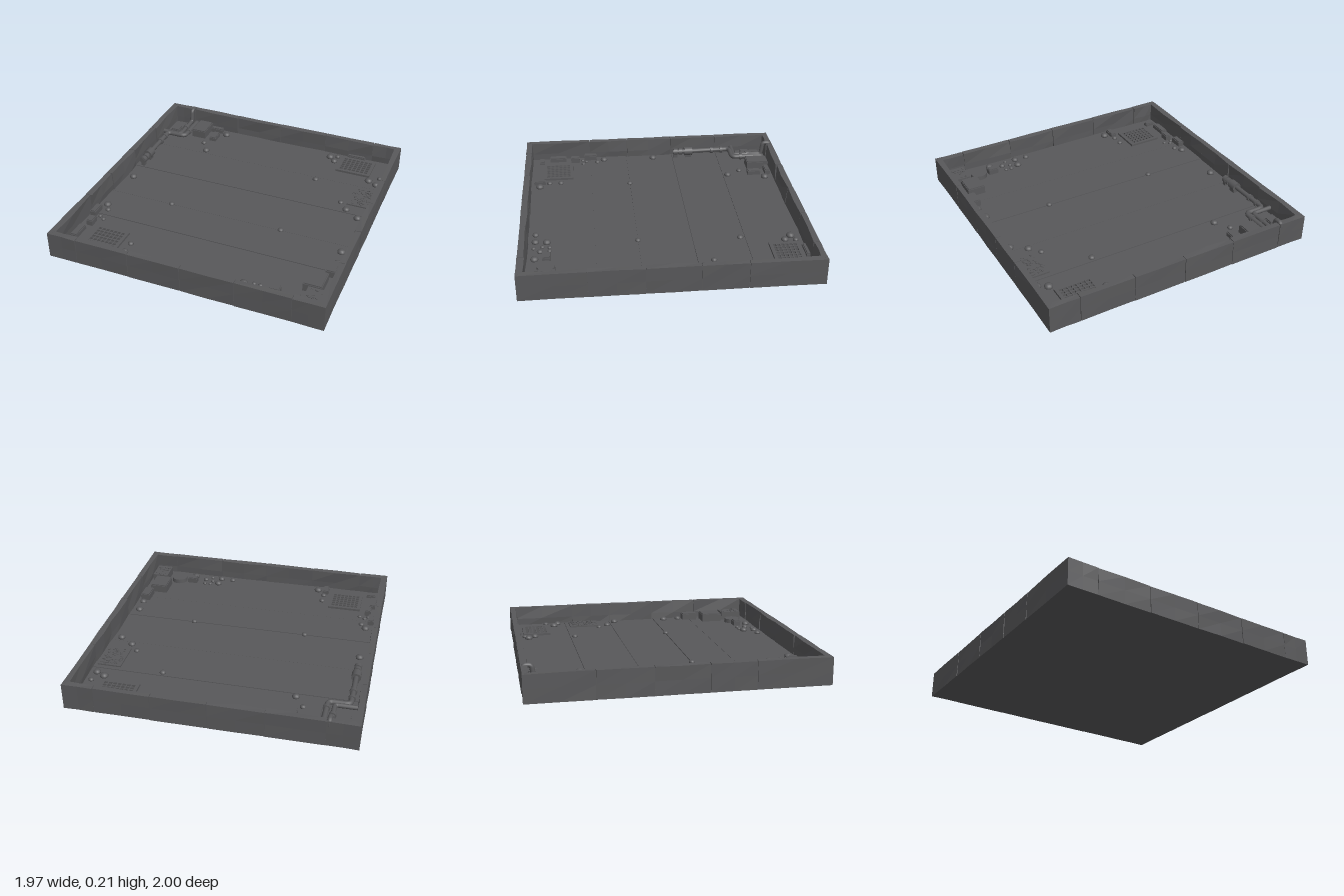
import * as THREE from 'three';

export function createModel() {
  const model = new THREE.Group();
  const stone = new THREE.MeshStandardMaterial({ color: 0x58585a });
  stone.name = 'darkGrey';
  const FLOOR = 0.046, HX = 0.985, HZ = 1, T = 0.045, TOP = 0.192;

  let seed = 7;
  const rnd = () => (seed = (seed * 16807) % 2147483647) / 2147483647;
  const jit = (a) => (rnd() * 2 - 1) * a;

  const add = (geo, name, x = 0, y = 0, z = 0, parent = model) => {
    const m = new THREE.Mesh(geo, stone);
    m.name = name;
    m.position.set(x, y, z);
    parent.add(m);
    return m;
  };
  // box standing on height y0
  const box = (name, x, z, w, d, top, y0 = FLOOR - 0.004) =>
    add(new THREE.BoxGeometry(w, top - y0, d), name, x, (top + y0) / 2, z);

  // Floor: plinth with broad slabs separated by fine seams
  box('base', 0, 0, 2 * HX - 0.01, 2 * HZ - 0.01, 0.04, 0);
  const seams = [-0.96, -0.56, -0.19, 0.19, 0.49, 0.96];
  for (let i = 0; i < seams.length - 1; i++) {
    const a = seams[i], b = seams[i + 1];
    box('floorSlab', 0, (a + b) / 2, 1.9, b - a - 0.004, FLOOR + (i % 2) * 0.002, 0.035);
  }

  // Walls: uneven stone blocks, mitred at the corners, over a thin core
  function wall(name, half, off, angle, cuts) {
    const g = new THREE.Group();
    g.name = name;
    g.rotation.y = angle;
    add(new THREE.BoxGeometry(2 * half - 0.02, TOP - 0.012, T - 0.02), 'wallCore', 0, (TOP - 0.012) / 2, off - T / 2, g);
    const stops = [-half, ...cuts, half];
    for (let i = 0; i < stops.length - 1; i++) {
      const a = stops[i] + (i ? 0.002 : 0), b = stops[i + 1] - (i < stops.length - 2 ? 0.002 : 0);
      let geo = new THREE.BoxGeometry(b - a, TOP, T, 2, 2, 1);
      geo.translate((a + b) / 2, TOP / 2, off - T / 2);
      const p = geo.attributes.position, moved = new Map();
      for (let k = 0; k < p.count; k++) {
        const v = new THREE.Vector3().fromBufferAttribute(p, k);
        const key = v.toArray().map((c) => c.toFixed(3)).join();
        if (!moved.has(key)) {
          const inner = v.z < off - T / 2, n = v.clone();
          if (inner) {
            n.x = THREE.MathUtils.clamp(v.x, -half + T, half - T);
            if (Math.abs(v.x) < half - 0.01) n.z += jit(0.007);
          } else if (Math.abs(v.x) < half - 0.01) n.z -= rnd() * 0.004;
          if (v.y > TOP - 0.01) n.y -= rnd() * 0.004;
          moved.set(key, n);
        }
        p.setXYZ(k, ...moved.get(key).toArray());
      }
      geo = geo.toNonIndexed();
      geo.computeVertexNormals();
      add(geo, 'wallBlock', 0, 0, 0, g);
    }
    model.add(g);
  }
  const cutsX = [-0.77, -0.38, 0, 0.38, 0.77], cutsZ = [-0.55, -0.18, 0.18, 0.49];
  wall('frontWall', HX, HZ, 0, cutsX);
  wall('backWall', HX, HZ, Math.PI, cutsX);
  wall('leftWall', HZ, HX, Math.PI / 2, cutsZ);
  wall('rightWall', HZ, HX, -Math.PI / 2, cutsZ);

  // Floor grates: frame with square openings over a sunken pan
  function grate(x, z, w, d, nx, nz) {
    const s = new THREE.Shape();
    s.moveTo(-w / 2, -d / 2).lineTo(w / 2, -d / 2).lineTo(w / 2, d / 2).lineTo(-w / 2, d / 2).closePath();
    const rim = 0.02, cw = (w - 2 * rim) / nx, cd = (d - 2 * rim) / nz, e = 0.004;
    for (let i = 0; i < nx; i++) for (let j = 0; j < nz; j++) {
      const x0 = -w / 2 + rim + i * cw + e, x1 = x0 + cw - 2 * e;
      const y0 = -d / 2 + rim + j * cd + e, y1 = y0 + cd - 2 * e;
      s.holes.push(new THREE.Path().moveTo(x0, y0).lineTo(x0, y1).lineTo(x1, y1).lineTo(x1, y0).closePath());
    }
    const geo = new THREE.ExtrudeGeometry(s, { depth: 0.018, bevelEnabled: false });
    geo.rotateX(-Math.PI / 2);
    add(geo, 'floorGrate', x, FLOOR - 0.002, z);
  }
  grate(0.68, -0.81, 0.27, 0.21, 7, 6);
  grate(-0.685, 0.745, 0.25, 0.23, 7, 6);

  // Rough patches: a plate strewn with small lumps
  function roughPlate(x, z, w, d, top, count) {
    box('roughPlate', x, z, w, d, top);
    for (let i = 0; i < count; i++) {
      const s = 0.008 + rnd() * 0.012;
      const m = box('rubbleChip', x + jit(w / 2 - 0.015), z + jit(d / 2 - 0.015), s, s * 0.8, top + 0.003 + rnd() * 0.005, top - 0.002);
      m.rotation.y = rnd() * 3;
    }
  }
  roughPlate(0.837, -0.41, 0.17, 0.235, 0.058, 70);
  roughPlate(0.86, 0.835, 0.12, 0.16, 0.108, 22);

  // Crates and fallen blocks: x, z, width, depth, top
  [[0.82, 0.66, 0.13, 0.16, 0.11], [0.595, 0.82, 0.075, 0.055, 0.09], [0.885, 0.49, 0.07, 0.12, 0.1],
    [-0.912, 0.485, 0.045, 0.1, 0.09], [-0.877, 0.61, 0.045, 0.07, 0.09], [-0.905, 0.75, 0.05, 0.13, 0.08],
    [-0.875, 0.88, 0.07, 0.04, 0.07], [-0.51, 0.89, 0.045, 0.09, 0.075], [-0.66, -0.855, 0.115, 0.17, 0.112],
    [-0.55, -0.917, 0.1, 0.04, 0.085], [-0.53, -0.81, 0.052, 0.1, 0.08], [-0.875, -0.82, 0.13, 0.2, 0.06],
    [-0.872, -0.795, 0.072, 0.072, 0.085], [0.65, -0.945, 0.14, 0.03, 0.07],
  ].forEach(([x, z, w, d, t]) => {
    box('block', x, z, w, d, t - 0.008);
    box('blockLid', x, z, w - 0.01, d - 0.01, t, t - 0.01);
  });
  add(new THREE.CylinderGeometry(0.06, 0.063, 0.035, 28), 'drumLid', 0.71, FLOOR + 0.014, 0.82);

  // Pebbles: x, z, radius
  [[-0.455, -0.885, 0.03], [-0.58, -0.7, 0.021], [-0.515, -0.597, 0.027], [0.45, -0.88, 0.03], [0.505, -0.905, 0.02],
    [0.497, -0.83, 0.026], [0.825, -0.655, 0.03], [0.89, -0.62, 0.027], [0.897, -0.715, 0.02], [0.44, -0.525, 0.023],
    [0.708, -0.3, 0.021], [0.77, -0.225, 0.027], [0.876, -0.15, 0.028], [-0.88, -0.03, 0.028], [-0.445, 0.19, 0.021],
    [0.41, 0.19, 0.021], [0.88, 0.27, 0.029], [0.89, 0.395, 0.026], [-0.88, 0.375, 0.028], [-0.845, 0.43, 0.021],
    [-0.86, 0.52, 0.015], [-0.82, 0.545, 0.016], [-0.885, 0.55, 0.015], [-0.5, 0.727, 0.021], [-0.5, 0.815, 0.021], [-0.445, 0.89, 0.03],
    [0.275, 0.9, 0.023], [0.37, 0.9, 0.026], [0.38, 0.82, 0.028], [0.435, 0.85, 0.016], [0.45, 0.91, 0.015],
    [0.445, 0.8, 0.016], [0.49, 0.8, 0.016], [0.495, 0.865, 0.022], [0.59, 0.9, 0.028],
  ].forEach(([x, z, r]) => {
    const m = add(new THREE.SphereGeometry(r, 12, 8), 'pebble', x, FLOOR + r * 0.25, z);
    m.scale.y = 0.75;
  });

  // Pipes with rounded elbows
  function pipe(name, pts, r, bend = 0.03) {
    const v = pts.map((p) => new THREE.Vector3(...p)), path = new THREE.CurvePath();
    let last = v[0];
    for (let i = 1; i < v.length - 1; i++) {
      const a = v[i].clone().add(v[i - 1].clone().sub(v[i]).setLength(bend));
      const b = v[i].clone().add(v[i + 1].clone().sub(v[i]).setLength(bend));
      path.add(new THREE.LineCurve3(last, a));
      path.add(new THREE.QuadraticBezierCurve3(a, v[i], b));
      last = b;
    }
    path.add(new THREE.LineCurve3(last, v[v.length - 1]));
    add(new THREE.TubeGeometry(path, 90, r, 12), name, 0, 0, 0);
  }
  pipe('wallPipe', [[-0.787, 0.15, -0.985], [-0.787, 0.192, -0.985], [-0.787, 0.192, -0.93],
    [-0.787, 0.095, -0.915], [-0.787, 0.095, -0.69], [-0.95, 0.095, -0.69]], 0.016, 0.022);
  pipe('floorPipe', [[-0.738, 0.05, -0.925], [-0.738, 0.1, -0.925], [-0.738, 0.1, -0.668],
    [-0.888, 0.1, -0.668], [-0.888, 0.095, -0.2]], 0.018, 0.035);

  // Couplings and valve along the pipes: x, y, z, radius, length
  [[-0.888, 0.098, -0.6, 0.025, 0.02], [-0.888, 0.097, -0.52, 0.026, 0.022], [-0.888, 0.096, -0.325, 0.034, 0.065],
    [-0.888, 0.095, -0.26, 0.027, 0.025], [-0.888, 0.095, -0.22, 0.027, 0.03],
    [-0.787, 0.095, -0.8, 0.024, 0.025], [-0.738, 0.1, -0.74, 0.025, 0.02],
  ].forEach(([x, y, z, r, l]) => {
    add(new THREE.CylinderGeometry(r, r, l, 14), 'pipeCoupling', x, y, z).rotation.x = Math.PI / 2;
  });
  box('pipeStand', -0.888, -0.325, 0.04, 0.05, 0.09);
  box('pipeStandEnd', -0.888, -0.22, 0.03, 0.03, 0.09);

  return model;
}
